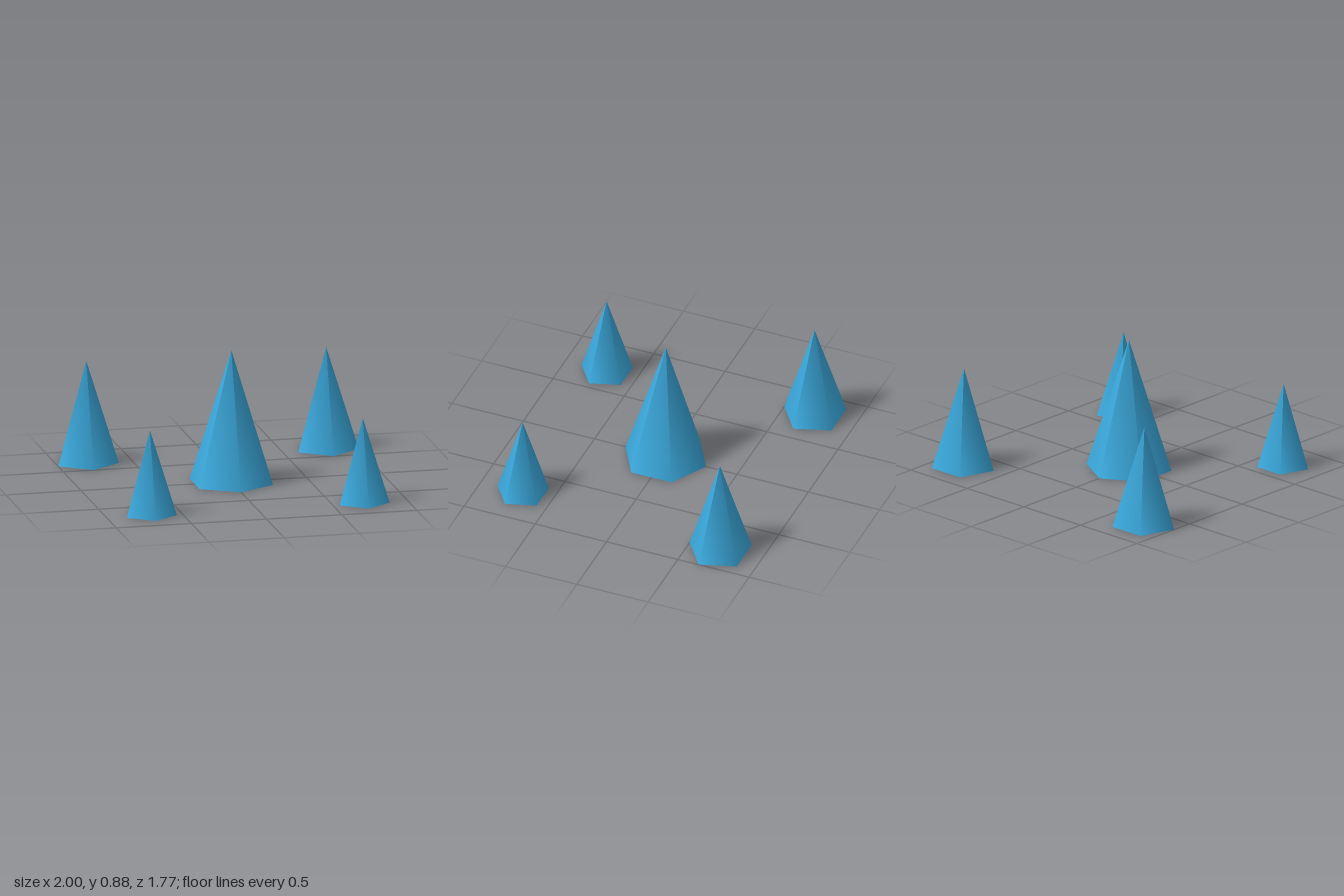
import * as THREE from 'three';

export function createModel() {
  const group = new THREE.Group();
  const blue = new THREE.MeshStandardMaterial({ color: 0x3baade });
  blue.name = 'skyBlue';

  // Smooth-shaded cone standing on the ground, one corner towards +z
  const addSpire = (name, radius, height, sides, x, z) => {
    const mesh = new THREE.Mesh(new THREE.ConeGeometry(radius, height, sides), blue);
    mesh.name = name;
    mesh.position.set(x, height / 2, z);
    group.add(mesh);
  };

  // Tall six-sided spire in the middle
  addSpire('centreSpire', 0.282, 0.88, 6, 0, 0);

  // Mirrored pairs of five-sided spires, larger at the back
  for (const [side, s] of [['left', 1], ['right', -1]]) {
    addSpire(side + 'BackSpire', 0.212, 0.677, 5, s * 0.798, -0.711);
    addSpire(side + 'FrontSpire', 0.175, 0.562, 5, s * 0.708, 0.71);
  }
  return group;
}
